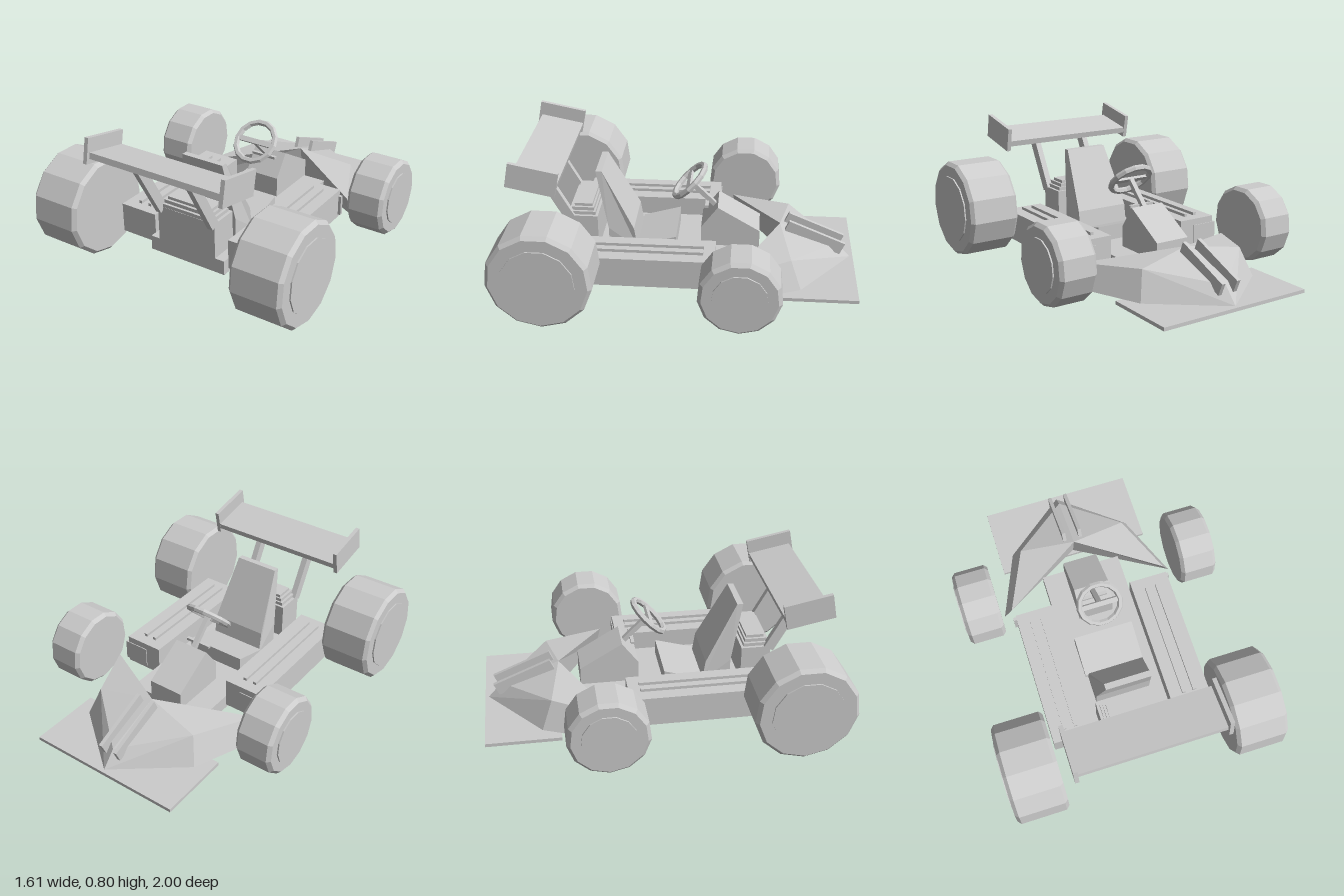
import * as THREE from 'three';

const grey = new THREE.MeshStandardMaterial({ color: 0xcccccc, flatShading: true });
grey.name = 'light grey';

export function createModel() {
  const model = new THREE.Group();
  model.name = 'racingKart';

  function add(name, geometry, parent = model) {
    const mesh = new THREE.Mesh(geometry, grey);
    mesh.name = name;
    parent.add(mesh);
    return mesh;
  }
  // box given by its limits on each axis
  function box(name, x0, x1, y0, y1, z0, z1) {
    const g = new THREE.BoxGeometry(x1 - x0, y1 - y0, z1 - z0);
    g.translate((x0 + x1) / 2, (y0 + y1) / 2, (z0 + z1) / 2);
    return add(name, g);
  }
  // side profile of [z, y] points, extruded across x
  function prism(profile, width) {
    const shape = new THREE.Shape(profile.map(([z, y]) => new THREE.Vector2(z, y)));
    const g = new THREE.ExtrudeGeometry(shape, { depth: width, bevelEnabled: false });
    return g.translate(0, 0, -width / 2).rotateY(-Math.PI / 2);
  }
  // square bar between two points in a plane of constant x
  function bar(name, x, [z0, y0], [z1, y1], width, depth) {
    const g = new THREE.BoxGeometry(width, depth, Math.hypot(z1 - z0, y1 - y0));
    g.rotateX(-Math.atan2(y1 - y0, z1 - z0));
    g.translate(x, (y0 + y1) / 2, (z0 + z1) / 2);
    return add(name, g);
  }

  // wheels: bevelled 13-sided tyre with a raised hub
  function wheel(name, side, inner, outer, r, hub, z) {
    const b = 0.02;
    const profile = [
      [0, inner], [r - b, inner], [r, inner + b], [r, outer - b], [r - b, outer],
      [hub, outer], [hub, outer + 0.008], [0, outer + 0.008],
    ].map(([x, y]) => new THREE.Vector2(x, y));
    const g = new THREE.LatheGeometry(profile, 13);
    g.rotateZ(-side * Math.PI / 2).rotateX(Math.PI / 2);
    g.translate(0, r, z);
    add(name, g);
  }

  // floor pan and front splitter
  box('floorPan', -0.245, 0.245, 0.06, 0.145, -0.43, 0.66);
  box('frontSplitter', -0.465, 0.465, 0.02, 0.04, -1, -0.575);

  for (const s of [1, -1]) {
    const label = s > 0 ? 'left' : 'right';
    const sided = (name, a, b, ...rest) => box(label + name, Math.min(s * a, s * b), Math.max(s * a, s * b), ...rest);

    wheel(label + 'RearWheel', s, 0.494, 0.796, 0.287, 0.2, 0.714);
    wheel(label + 'FrontWheel', s, 0.558, 0.778, 0.226, 0.15, -0.342);

    // side pods with ribs
    sided('SidePod', 0.245, 0.478, 0.083, 0.258, -0.195, 0.62);
    sided('PodRib', 0.32, 0.34, 0.25, 0.275, -0.13, 0.56);
    sided('PodRib', 0.385, 0.405, 0.25, 0.275, -0.13, 0.56);
    sided('PodFlange', 0.34, 0.495, 0.1, 0.22, -0.2, -0.18);

    // rear wing struts and nose fins
    bar(label + 'WingStrut', s * 0.171, [0.65, 0.34], [0.83, 0.67], 0.035, 0.06);
    bar(label + 'NoseFin', s * 0.05, [-0.928, 0.123], [-0.598, 0.262], 0.022, 0.075);
  }

  // engine with stepped cover
  box('engineBlock', -0.187, 0.187, 0.145, 0.355, 0.49, 0.66);
  [[0.17, 0.375, 0.505], [0.155, 0.395, 0.515], [0.14, 0.412, 0.525]].forEach(([w, top, z]) =>
    box('engineCover', -w, w, 0.34, top, z, 0.658 - (0.17 - w)));

  // seat: sloped cushion and tapered back
  add('seatCushion', prism([[0.04, 0.14], [0.265, 0.14], [0.265, 0.17], [0.04, 0.235]], 0.36));
  const back = prism([[0.265, 0.14], [0.43, 0.14], [0.432, 0.27], [0.5, 0.615], [0.465, 0.615], [0.285, 0.27]], 0.33);
  const p = back.attributes.position;
  for (let i = 0; i < p.count; i++) {
    const t = Math.max(0, (p.getY(i) - 0.27) / 0.345);
    p.setX(i, p.getX(i) * (1 - 0.21 * t));
  }
  add('seatBack', back);

  // dashboard wedge
  add('dashboard', prism([[-0.44, 0.13], [-0.1, 0.13], [-0.1, 0.265], [-0.195, 0.395], [-0.44, 0.25]], 0.21));

  // steering wheel, spoke, column and lever
  const steering = new THREE.Group();
  steering.name = 'steeringWheel';
  steering.position.set(0, 0.512, -0.027);
  steering.rotation.x = -Math.PI / 4;
  model.add(steering);
  add('steeringRim', new THREE.TorusGeometry(0.122, 0.018, 6, 14), steering);
  add('steeringSpoke', new THREE.BoxGeometry(0.22, 0.03, 0.016), steering);
  bar('steeringColumn', 0, [-0.19, 0.35], [-0.025, 0.515], 0.028, 0.028);
  box('columnLever', -0.08, 0.075, 0.375, 0.39, -0.14, -0.12);

  // rear wing
  const wing = new THREE.Group();
  wing.name = 'rearWing';
  wing.position.set(0, 0.703, 0.793);
  wing.rotation.x = -0.2;
  model.add(wing);
  add('wingBlade', new THREE.BoxGeometry(0.84, 0.034, 0.255), wing).position.set(0, -0.026, -0.008);
  for (const s of [1, -1]) {
    add('wingEndPlate', new THREE.BoxGeometry(0.024, 0.143, 0.275), wing).position.x = s * 0.426;
  }

  // faceted nose fairing: one half, then its mirror with reversed corners
  const pts = {
    T: [0, 0.04, -0.98], U: [0, 0.13, -0.9], C: [0, 0.25, -0.56], R: [0.33, 0.2, -0.62],
    S: [0.38, 0.04, -0.68], F: [0.49, 0.165, -0.27], E: [0.54, 0.04, -0.29], B: [0, 0.04, -0.6],
  };
  const tris = ['UCR', 'CFR', 'TUR', 'TRS', 'SRF', 'SFE', 'CBE', 'CEF', 'TSE', 'TEB'];
  const verts = [];
  for (const s of [1, -1]) {
    for (const t of tris) {
      const corners = s > 0 ? [...t] : [...t].reverse();
      for (const c of corners) verts.push(s * pts[c][0], pts[c][1], pts[c][2]);
    }
  }
  const nose = new THREE.BufferGeometry();
  nose.setAttribute('position', new THREE.Float32BufferAttribute(verts, 3));
  nose.computeVertexNormals();
  add('noseFairing', nose);

  return model;
}
